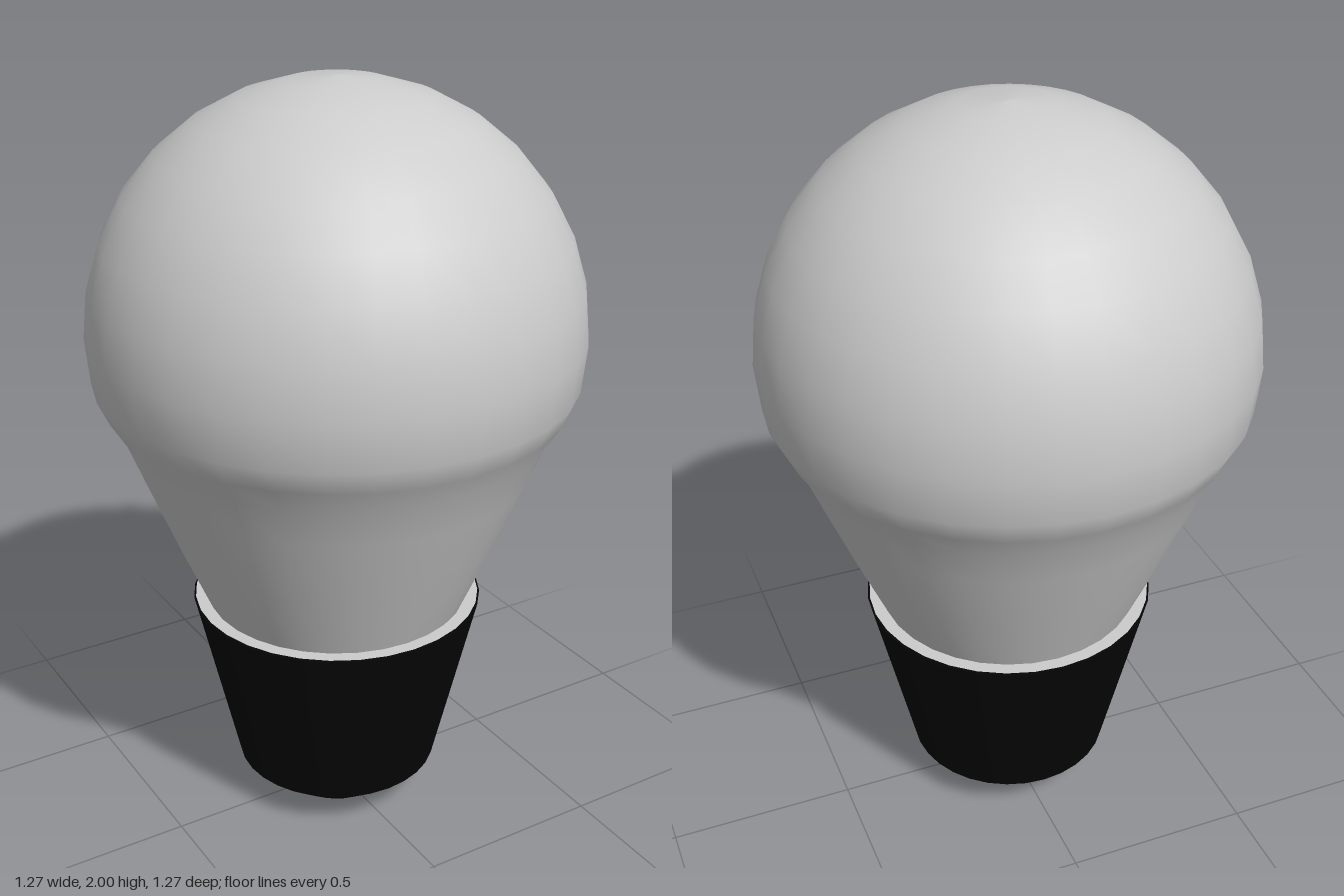
import * as THREE from 'three';
import { toCreasedNormals } from 'three/addons/utils/BufferGeometryUtils.js';

const SIDES = 32;

// Revolves a bottom-to-top [radius, height] profile about the y axis
function revolve(profile) {
  return new THREE.LatheGeometry(profile.map(([r, y]) => new THREE.Vector2(r, y)), SIDES);
}

function part(name, geometry, material) {
  const mesh = new THREE.Mesh(geometry, material);
  mesh.name = name;
  return mesh;
}

export function createModel() {
  const glassGrey = new THREE.MeshStandardMaterial({ name: 'glassGrey', color: 0xcccccc });
  const baseBlack = new THREE.MeshStandardMaterial({ name: 'baseBlack', color: 0x050505 });

  const model = new THREE.Group();
  model.name = 'lightBulb';

  // Glass: tapered neck flowing into a round dome
  const neck = [[0.345, 0.6], [0.43, 0.8], [0.51, 1.0], [0.555, 1.115], [0.595, 1.18]];
  const dome = [];
  const radius = 0.636, centre = 1.364, steps = 9;
  for (let i = 0; i <= steps; i++) {
    const a = THREE.MathUtils.lerp(-0.19, Math.PI / 2, i / steps);
    dome.push([Math.max(0, radius * Math.cos(a)), centre + radius * Math.sin(a)]);
  }
  model.add(part('glassBulb', revolve([...neck, ...dome]), glassGrey));

  // Base: tapered cup with a chamfered foot, flat closed ends
  const cup = revolve([[0, 0], [0.135, 0], [0.275, 0.11], [0.39, 0.61], [0, 0.61]]);
  model.add(part('base', toCreasedNormals(cup, 0.4), baseBlack));

  // Seal: thin flat ring on the cup around the neck
  const seal = part('neckSeal', new THREE.RingGeometry(0.34, 0.385, SIDES), glassGrey);
  seal.rotation.x = -Math.PI / 2;
  seal.position.y = 0.613;
  model.add(seal);

  return model;
}
